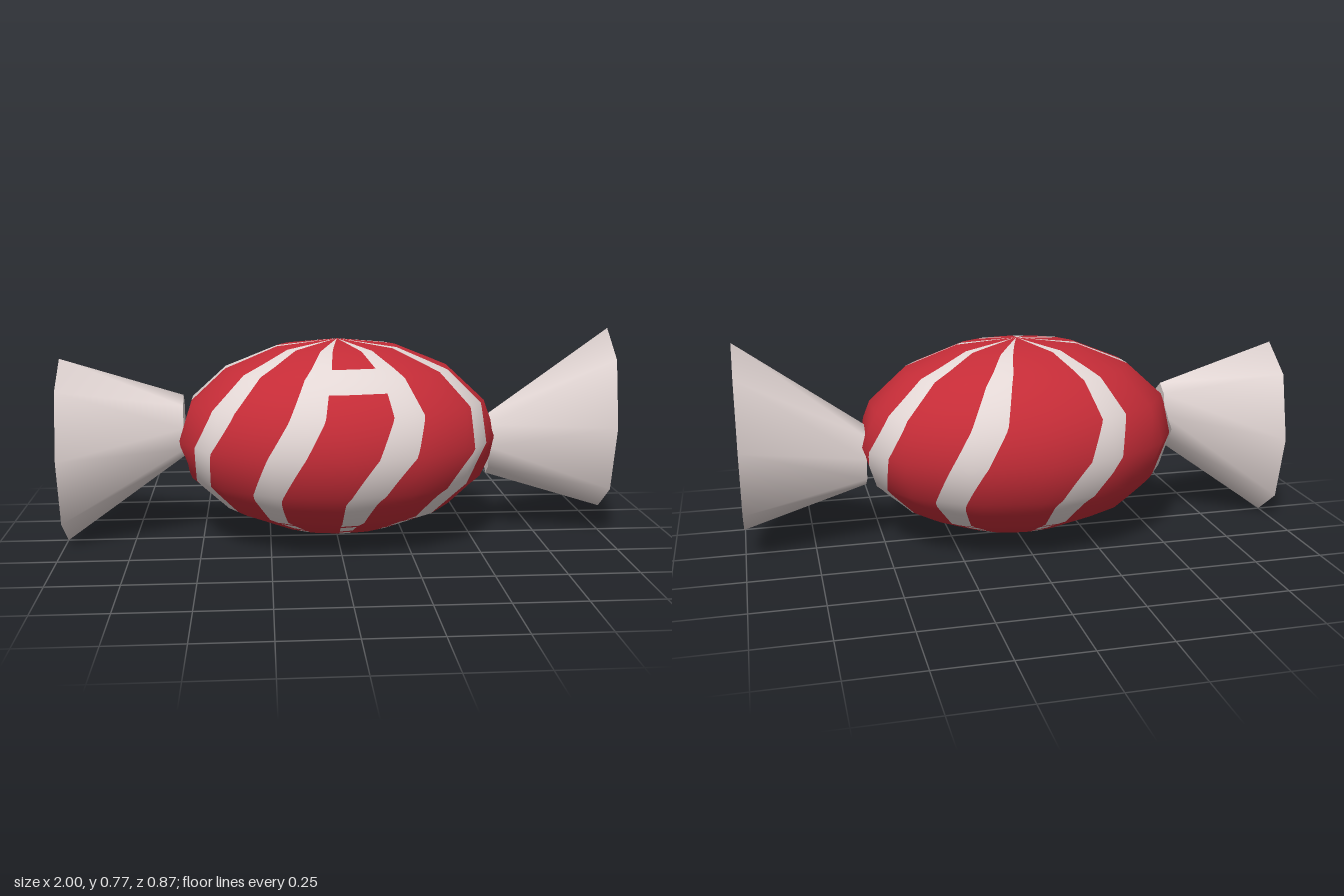
import * as THREE from 'three';

const red = new THREE.MeshStandardMaterial({ color: 0xc42c37 });
red.name = 'candyRed';
const cream = new THREE.MeshStandardMaterial({ color: 0xe2d6d4 });
cream.name = 'candyCream';

const RX = 0.59, RY = 0.358, RZ = 0.44, CY = 0.388;
const SIDES = 14, RINGS = 8, ROWS = 64, COLS = 5;
const RAD = Math.PI / 180;

// point on the smooth ellipsoid: angle runs from +z to +x, t from top to bottom
function ellipsoid(angle, t) {
  const p = t * Math.PI;
  return new THREE.Vector3(
    RX * Math.sin(angle) * Math.sin(p), RY * Math.cos(p), RZ * Math.cos(angle) * Math.sin(p));
}

// point on the low-poly version of the same ellipsoid
function faceted(angle, t) {
  const step = 2 * Math.PI / SIDES;
  const i = Math.floor(angle / step), f = angle / step - i;
  const j = Math.min(Math.floor(t * RINGS), RINGS - 1), g = t * RINGS - j;
  const ring = k => ellipsoid(i * step, k / RINGS).lerp(ellipsoid((i + 1) * step, k / RINGS), f);
  return ring(j).lerp(ring(j + 1), g);
}

// piecewise linear lookup in a short list of [t, value]
function lookup(table, t) {
  const k = Math.max(1, table.findIndex(d => d[0] >= t));
  const [t0, v0] = table[k - 1], [t1, v1] = table[k];
  return v0 + (v1 - v0) * (t - t0) / (t1 - t0);
}

// sideways drift and half width of the stripes from top to bottom, in degrees
const DRIFT = [[0, 6], [0.2, 8], [0.38, 6.5], [0.5, 0], [0.65, -11], [0.8, -14], [1, -14]];
const HALF = [[0, 5], [0.2, 6], [0.4, 6.5], [0.65, 6.5], [0.8, 5], [1, 5]];

function makeSurface() {
  return { position: [], normal: [] };
}

function addPoint(surface, degrees, t) {
  const a = degrees * RAD, v = faceted(a, t);
  const e = ellipsoid(a, t);
  const n = new THREE.Vector3(e.x / RX ** 2, e.y / RY ** 2, e.z / RZ ** 2).normalize();
  surface.position.push(v.x, v.y + CY, v.z);
  surface.normal.push(n.x, n.y, n.z);
}

function surfaceMesh(surface, material, name) {
  const geo = new THREE.BufferGeometry();
  geo.setAttribute('position', new THREE.Float32BufferAttribute(surface.position, 3));
  geo.setAttribute('normal', new THREE.Float32BufferAttribute(surface.normal, 3));
  const mesh = new THREE.Mesh(geo, material);
  mesh.name = name;
  return mesh;
}

// candy body divided into red bands and cream swirling stripes
function makeBody() {
  const centres = [-57, -20, 18, 59, 113, 154, 203, 258];
  const stripes = makeSurface(), bands = makeSurface();
  centres.forEach((c, s) => {
    const next = s + 1 < centres.length ? centres[s + 1] : centres[0] + 360;
    for (const isStripe of [true, false]) {
      // angle at fraction f across the stripe or the band beside it
      const across = (f, t) => {
        const h = lookup(HALF, t);
        const from = isStripe ? c - h : c + h, to = isStripe ? c + h : next - h;
        return from + (to - from) * f + lookup(DRIFT, t);
      };
      for (let r = 0; r < ROWS; r++) {
        const t0 = r / ROWS, t1 = (r + 1) / ROWS, mid = (t0 + t1) / 2;
        // stripes break into dots near the bottom
        const gap = mid > 0.75 && r % 4 === 2;
        // cream bar joining the two front stripes
        const bar = s === 1 && mid > 0.2 && mid < 0.3;
        const target = (isStripe && !gap) || bar ? stripes : bands;
        for (let k = 0; k < COLS; k++) {
          const f0 = k / COLS, f1 = (k + 1) / COLS;
          const corners = [[f0, t0], [f0, t1], [f1, t1], [f1, t0]];
          for (const i of [0, 1, 2, 0, 2, 3]) {
            const [f, t] = corners[i];
            addPoint(target, across(f, t), t);
          }
        }
      }
    }
  });
  const body = new THREE.Group();
  body.name = 'candyBody';
  body.add(surfaceMesh(bands, red, 'redBands'), surfaceMesh(stripes, cream, 'creamStripes'));
  return body;
}

// flared wrapper end: eight-sided oval rings, smooth sides and softly domed shading on the cap
function makeTwistGeometry() {
  const inner = { x: 0.56, y: -0.043, ry: 0.113, rz: 0.062 };
  const outer = { x: 1, y: 0.047, ry: 0.34, rz: 0.186 };
  const N = 8, position = [], index = [];
  for (const { x, y, ry, rz } of [inner, outer, inner, outer]) {
    for (let i = 0; i < N; i++) {
      const a = i * 2 * Math.PI / N;
      position.push(x, y + ry * Math.cos(a), rz * Math.sin(a));
    }
  }
  for (const { x, y } of [inner, outer]) position.push(x, y, 0);
  for (let i = 0; i < N; i++) {
    const j = (i + 1) % N;
    index.push(i, j, N + j, i, N + j, N + i);
    index.push(4 * N, 2 * N + j, 2 * N + i, 4 * N + 1, 3 * N + i, 3 * N + j);
  }
  const geo = new THREE.BufferGeometry();
  geo.setAttribute('position', new THREE.Float32BufferAttribute(position, 3));
  geo.setIndex(index);
  geo.computeVertexNormals();
  for (let i = 0; i < N; i++) {
    const a = i * 2 * Math.PI / N;
    const n = new THREE.Vector3(1, 0.7 * Math.cos(a), 0.4 * Math.sin(a)).normalize();
    geo.attributes.normal.setXYZ(3 * N + i, n.x, n.y, n.z);
  }
  return geo;
}

export function createModel() {
  const model = new THREE.Group();
  model.name = 'wrappedCandy';
  model.add(makeBody());

  // the second wrapper end is the first one turned half a circle
  const twist = makeTwistGeometry();
  ['leftWrapperEnd', 'rightWrapperEnd'].forEach((name, i) => {
    const mesh = new THREE.Mesh(twist, cream);
    mesh.name = name;
    mesh.position.y = CY;
    mesh.rotation.z = i * Math.PI;
    model.add(mesh);
  });
  return model;
}
